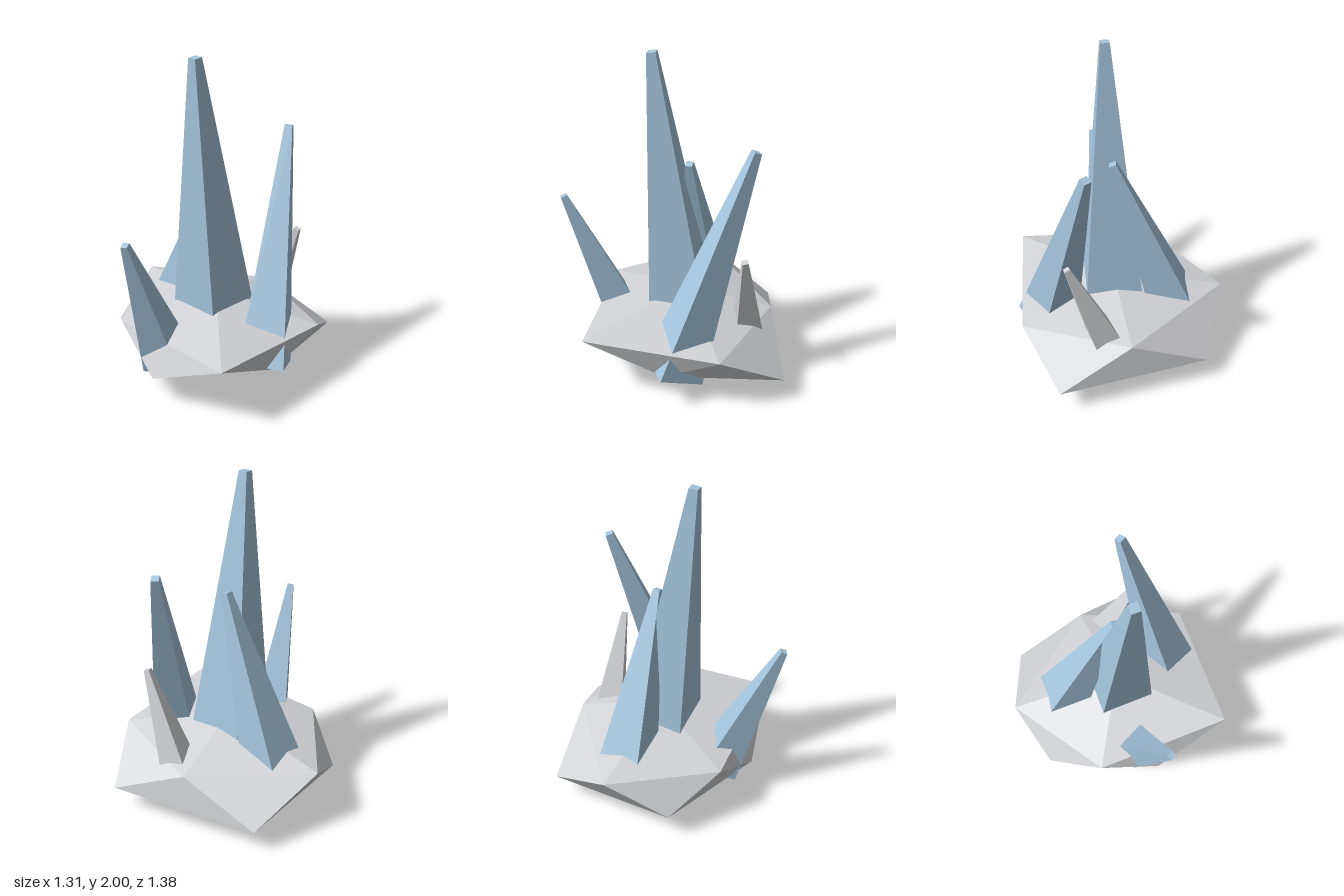
import * as THREE from 'three';

const v = (p) => new THREE.Vector3(...p);

// Squat twenty-sided rock: two poles and two staggered rings of five
function rockGeometry() {
  const top = [0, 0.51, -0.02], bottom = [0, 0, -0.02];
  const upper = [[0.26, 0.41, 0.69], [0.65, 0.375, -0.02], [0.19, 0.365, -0.52], [-0.58, 0.385, -0.39], [-0.5, 0.37, 0.3]];
  const lower = [[0.43, 0.18, 0.25], [0.64, 0.152, -0.43], [-0.25, 0.15, -0.69], [-0.66, 0.175, -0.02], [-0.21, 0.17, 0.54]];
  const corners = [];
  for (let i = 0; i < 5; i++) {
    const j = (i + 1) % 5;
    corners.push(top, upper[i], upper[j]);
    corners.push(upper[i], lower[i], upper[j]);
    corners.push(lower[i], lower[j], upper[j]);
    corners.push(bottom, lower[j], lower[i]);
  }
  const g = new THREE.BufferGeometry();
  g.setAttribute('position', new THREE.Float32BufferAttribute(corners.flat(), 3));
  g.computeVertexNormals();
  return g;
}

// Leaning four-sided spire; `corner` is the direction of one base corner
function spireGeometry({ base, tip, corner, baseRadius, tipRadius }) {
  const from = v(base), axis = v(tip).sub(from), length = axis.length();
  axis.normalize();
  const out = v(corner);
  out.addScaledVector(axis, -out.dot(axis)).normalize();
  const side = new THREE.Vector3().crossVectors(axis, out);
  const cone = new THREE.CylinderGeometry(tipRadius, baseRadius, length, 4, 1);
  cone.translate(0, length / 2, 0);
  cone.applyMatrix4(new THREE.Matrix4().makeBasis(side, axis, out).setPosition(from));
  const g = cone.toNonIndexed();
  g.computeVertexNormals();
  return g;
}

export function createModel() {
  const stone = new THREE.MeshStandardMaterial({ color: 0xd2d3d7, flatShading: true });
  stone.name = 'pale stone';
  const ice = new THREE.MeshStandardMaterial({ color: 0xa5c5dd, flatShading: true });
  ice.name = 'ice blue';

  const group = new THREE.Group();
  group.name = 'crystalCluster';
  const add = (name, geometry, material) => {
    const mesh = new THREE.Mesh(geometry, material);
    mesh.name = name;
    group.add(mesh);
  };

  add('rockBase', rockGeometry(), stone);

  // Crystals, sunk into the rock
  const spires = [
    { name: 'centralCrystal', material: ice, base: [0, 0.18, -0.02], tip: [-0.062, 1.996, 0.155],
      corner: [0.23, 0, -0.075], baseRadius: 0.275, tipRadius: 0.037 },
    { name: 'leftCrystal', material: ice, base: [0.37, 0.17, 0.17], tip: [0.357, 1.522, -0.307],
      corner: [0.155, 0.05, 0.13], baseRadius: 0.195, tipRadius: 0.032 },
    { name: 'frontCrystal', material: ice, base: [-0.203, 0.174, 0.313], tip: [-0.293, 1.085, 0.655],
      corner: [0.118, -0.034, 0.108], baseRadius: 0.166, tipRadius: 0.027 },
    { name: 'backCrystal', material: ice, base: [-0.296, 0.31, -0.24], tip: [0.012, 1.335, -0.037],
      corner: [-0.04, 0, -0.165], baseRadius: 0.188, tipRadius: 0.03 },
    { name: 'stoneSpire', material: stone, base: [0.23, 0.23, -0.357], tip: [0.449, 0.895, -0.23],
      corner: [-0.065, 0, -0.095], baseRadius: 0.13, tipRadius: 0.024 },
  ];
  for (const s of spires) add(s.name, spireGeometry(s), s.material);

  return group;
}
